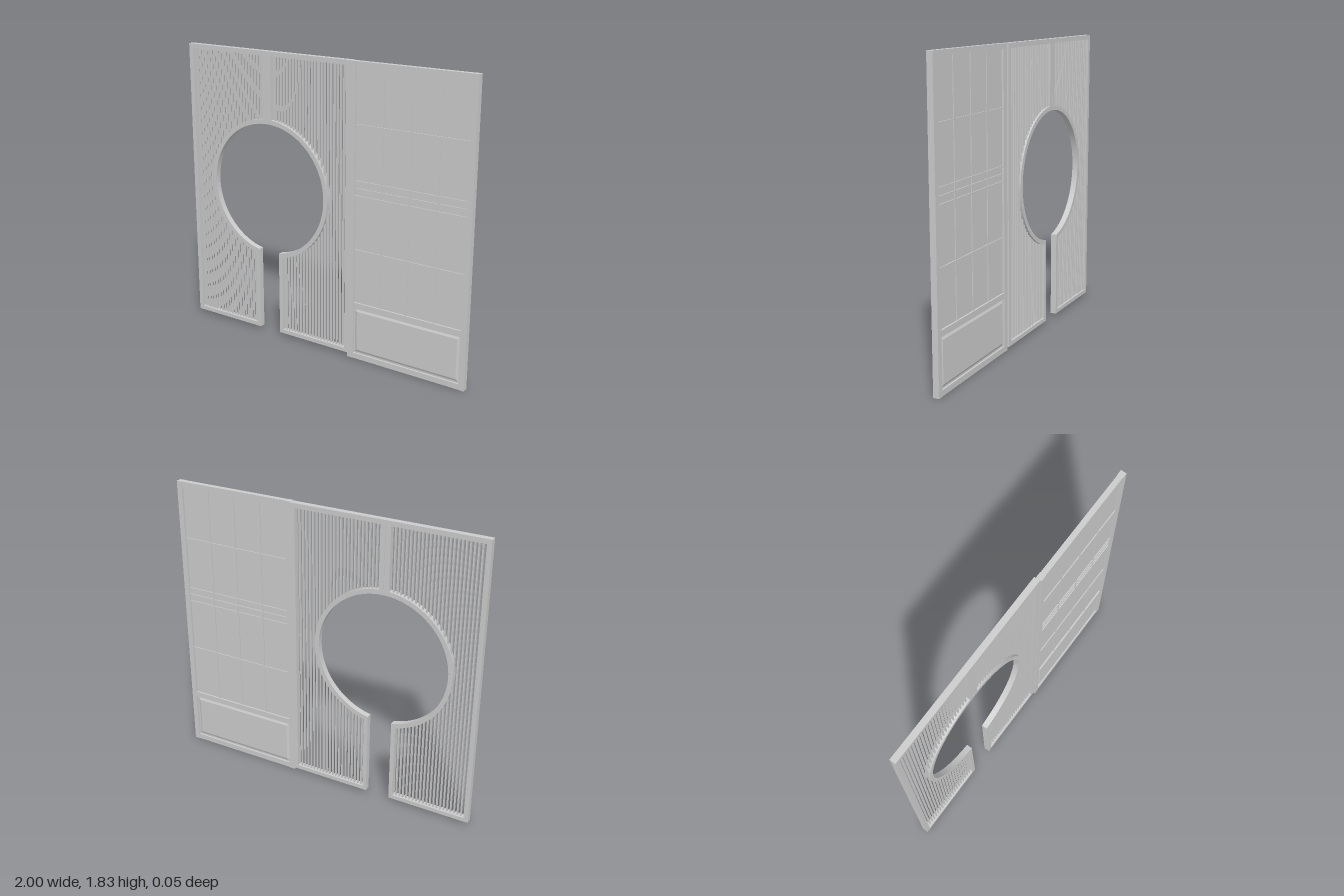
import * as THREE from 'three';

const material = new THREE.MeshStandardMaterial({ color: 0xcccccc, flatShading: true });

// Box given by its limits on every axis
function slab(parent, name, x0, x1, y0, y1, z0, z1) {
  const mesh = new THREE.Mesh(new THREE.BoxGeometry(x1 - x0, y1 - y0, z1 - z0), material);
  mesh.position.set((x0 + x1) / 2, (y0 + y1) / 2, (z0 + z1) / 2);
  mesh.name = name;
  parent.add(mesh);
}

// Slatted screen with a keyhole-shaped doorway
function createScreen() {
  const g = new THREE.Group();
  g.name = 'slattedScreen';
  const back = -0.023, front = 0.014, w = 0.029;
  const x0 = -1, x1 = 0.205, y0 = 0.02, y1 = 1.83;
  const cx = -0.396, cy = 0.97, inner = 0.416, outer = 0.444, neck = 0.078;
  const rail = (name, a, b, c, d) => slab(g, name, a, b, c, d, back, front);

  rail('topRail', x0, x1, y1 - w, y1);
  rail('outerPost', x0, x0 + w, y0, y1 - w);
  rail('innerPost', x1 - w, x1, y0, y1 - w);
  rail('bottomRailRight', x0 + w, cx - neck, y0, y0 + 0.026);
  rail('bottomRailLeft', cx + neck, x1 - w, y0, y0 + 0.026);

  // Door jambs, and the double post above the round opening
  const jambTop = cy - Math.sqrt(inner ** 2 - neck ** 2);
  for (const s of [-1, 1]) {
    const a = cx + s * neck, b = cx + s * (neck + 0.026);
    rail('doorJamb', Math.min(a, b), Math.max(a, b), y0 + 0.026, jambTop - 0.003);
    const c = cx + s * 0.001, d = cx + s * 0.032;
    rail('centrePost', Math.min(c, d), Math.max(c, d), cy + outer - 0.008, y1 - w);
  }

  // Round rim, open at the neck
  const cut = Math.asin(neck / inner);
  const cutOuter = Math.asin(neck / outer);
  const down = -Math.PI / 2;
  const rim = new THREE.Shape();
  rim.absarc(0, 0, outer, down + cutOuter, down + 2 * Math.PI - cutOuter, false);
  rim.absarc(0, 0, inner, down + 2 * Math.PI - cut, down + cut, true);
  const ring = new THREE.Mesh(
    new THREE.ExtrudeGeometry(rim, { depth: front - back, bevelEnabled: false, curveSegments: 64 }), material);
  ring.position.set(cx, cy, back);
  ring.name = 'roundRim';
  g.add(ring);

  // Slats, each cut where it meets the rim
  const slats = new THREE.Group();
  slats.name = 'slats';
  g.add(slats);
  const half = 0.0033, mid = (back + front) / 2, r = (inner + outer) / 2;
  const slat = (x, a, b) => slab(slats, 'slat', x - half, x + half, a, b, mid - 0.0085, mid + 0.0085);
  const bays = [[x0 + w, cx - 0.032], [cx + 0.032, x1 - w]];
  for (const [a, b] of bays) {
    const count = Math.round((b - a) / 0.0225);
    for (let i = 1; i < count; i++) {
      const x = a + (b - a) * i / count;
      const dx = Math.abs(x - cx);
      if (dx >= r) { slat(x, y0 + 0.02, y1 - w); continue; }
      const h = Math.sqrt(r * r - dx * dx);
      slat(x, cy + h, y1 - w);
      if (dx > neck + 0.026) slat(x, y0 + 0.02, cy - h);
    }
  }
  return g;
}

// Solid panel with a grid of glazing bars over a raised lower field
function createPanel() {
  const g = new THREE.Group();
  g.name = 'griddedPanel';
  const back = -0.014, front = 0.023, mid = (back + front) / 2;
  const x0 = 0.245, x1 = 0.965;
  slab(g, 'stileInner', 0.206, x0, 0, 1.83, back, front);
  slab(g, 'stileOuter', x1, 1, 0, 1.83, back, front);
  for (const [name, a, b] of [['topRail', 1.8, 1.83], ['middleRail', 0.335, 0.37], ['bottomRail', 0, 0.035]])
    slab(g, name, x0, x1, a, b, back + 0.002, front - 0.002);
  slab(g, 'board', x0, x1, 0.035, 1.8, mid - 0.006, mid + 0.006);

  // Glazing bars, showing on both faces
  for (const x of [0.425, 0.605, 0.785])
    slab(g, 'verticalBar', x - 0.005, x + 0.005, 0.37, 1.8, mid - 0.011, mid + 0.011);
  for (const y of [1.465, 1.13, 1.085, 1.04, 0.705])
    slab(g, 'horizontalBar', x0, x1, y - 0.005, y + 0.005, mid - 0.012, mid + 0.012);

  // Raised field with bevelled edges on both faces
  const hw = 0.337, hh = 0.126;
  const field = new THREE.Shape([
    new THREE.Vector2(-hw, -hh), new THREE.Vector2(hw, -hh),
    new THREE.Vector2(hw, hh), new THREE.Vector2(-hw, hh),
  ]);
  const geometry = new THREE.ExtrudeGeometry(field, {
    depth: 0.012, bevelThickness: 0.006, bevelSize: 0.014, bevelSegments: 1,
  });
  const raised = new THREE.Mesh(geometry, material);
  raised.position.set((x0 + x1) / 2, 0.185, mid - 0.006);
  raised.name = 'raisedField';
  g.add(raised);
  return g;
}

export function createModel() {
  const model = new THREE.Group();
  model.name = 'partitionScreen';
  model.add(createScreen(), createPanel());
  return model;
}
